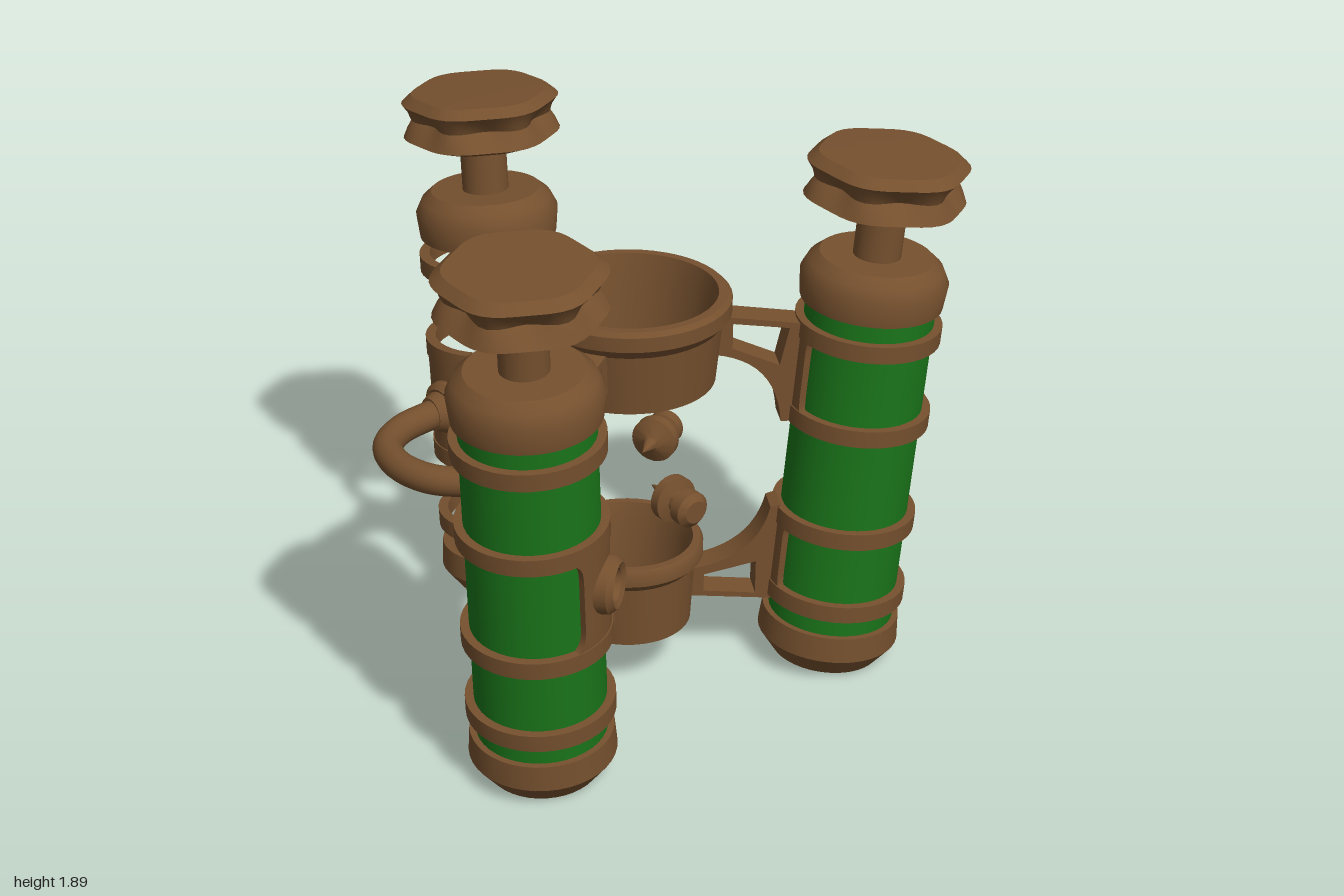
import * as THREE from 'three';
import { toCreasedNormals } from 'three/addons/utils/BufferGeometryUtils.js';

const bronze = new THREE.MeshStandardMaterial({ color: 0x75502e });
const green = new THREE.MeshStandardMaterial({ color: 0x1a751a });
const TILT = 0.078;

function part(parent, name, geometry, material = bronze) {
  const mesh = new THREE.Mesh(toCreasedNormals(geometry, 0.6), material);
  mesh.name = name;
  parent.add(mesh);
  return mesh;
}

// Lathe from [radius, height] pairs
const lathe = (points, segments = 40) =>
  new THREE.LatheGeometry(points.map(([r, y]) => new THREE.Vector2(r, y)), segments);

// Solid tube section centred on height y
const band = (inner, outer, y, h) => lathe([
  [inner, y - h / 2], [outer, y - h / 2], [outer, y + h / 2], [inner, y + h / 2], [inner, y - h / 2],
]);

// Plate bent round the canister; flare widens it near its ends
function bentPlate(angle, half, y0, y1, flare = 0) {
  const g = new THREE.BoxGeometry(1, 1, 1, 12, 20, 1);
  const p = g.attributes.position;
  for (let i = 0; i < p.count; i++) {
    const v = p.getY(i) * 2;
    const a = angle + p.getX(i) * 2 * (half + flare * Math.pow(Math.abs(v), 8));
    const r = 0.226 + p.getZ(i) * 0.03;
    p.setXYZ(i, r * Math.cos(a), y0 + (v + 1) / 2 * (y1 - y0), -r * Math.sin(a));
  }
  return g;
}

// Six-sided hand knob with scooped sides
function knobGeometry() {
  const g = lathe([[0, 1.67], [0.13, 1.67], [0.19, 1.68], [0.27, 1.71], [0.255, 1.745], [0.24, 1.77],
    [0.25, 1.8], [0.27, 1.83], [0.235, 1.86], [0, 1.865]], 48);
  const p = g.attributes.position;
  for (let i = 0; i < p.count; i++) {
    const x = p.getX(i), y = p.getY(i), z = p.getZ(i);
    const face = (1 - Math.cos(6 * Math.atan2(z, x))) / 2;
    const waist = Math.max(0, 1 - Math.abs(y - 1.77) / 0.06);
    const k = 1 - face * (0.06 + 0.12 * waist);
    p.setXYZ(i, x * k, y, z * k);
  }
  return g;
}

// Flat shape with one window, extruded about its middle plane
function bracketGeometry(outline, window, depth) {
  outline.holes.push(new THREE.Path(window.map(([x, y]) => new THREE.Vector2(x, y))));
  const g = new THREE.ExtrudeGeometry(outline, { depth, bevelEnabled: false, curveSegments: 12 });
  return g.translate(0, 0, -depth / 2);
}

function canister(filled) {
  const c = new THREE.Group();
  c.name = filled ? 'filledCanister' : 'emptyCanister';
  part(c, 'bottomCap', lathe([[0, 0.04], [0.09, 0.04], [0.11, 0], [0.19, 0], [0.245, 0.075],
    [0.238, 0.165], [0, 0.165]]));
  part(c, 'topCap', lathe([[0, 1.345], [0.238, 1.345], [0.247, 1.43], [0.225, 1.475], [0.19, 1.505], [0, 1.505]]));
  part(c, 'stem', new THREE.CylinderGeometry(0.08, 0.08, 0.22, 24).translate(0, 1.59, 0));
  part(c, 'knob', knobGeometry());
  for (const y of [0.265, 0.55, 0.94, 1.25]) part(c, 'cageRing', band(0.21, 0.246, y, 0.06));
  part(c, 'lowerStrip', bentPlate(Math.PI, 0.4, 0.265, 0.55, 0.15));
  part(c, 'upperStrip', bentPlate(Math.PI, 0.4, 0.94, 1.25, 0.15));
  part(c, 'portPlate', bentPlate(Math.PI / 2 + 0.12, 0.56, 0.56, 0.93, 0.3));
  const port = part(c, 'port', lathe([[0, 0.235], [0.045, 0.235], [0.055, 0.27], [0.075, 0.28],
    [0.095, 0.26], [0.1, 0.2]].reverse(), 28).rotateX(-Math.PI / 2));
  port.position.y = 0.755;
  port.rotation.y = 0.12;
  if (filled) {
    part(c, 'glass', new THREE.CylinderGeometry(0.217, 0.217, 1.2, 40).translate(0, 0.75, 0), green);
  } else {
    part(c, 'plungerRod', lathe([[0, 0.37], [0.19, 0.37], [0.19, 0.41], [0.095, 0.41], [0.09, 0.44],
      [0.067, 0.5], [0.067, 1.35]], 32));
  }
  c.position.set(0.705, 0.015, 0);
  c.rotation.z = -TILT;
  return c;
}

// Canister, its two brackets and the opposite needle nozzle
function arm(angle, filled) {
  const a = new THREE.Group();
  a.name = 'arm';
  a.add(canister(filled));

  const upper = new THREE.Shape();
  upper.moveTo(0.57, 1.3);
  upper.lineTo(0.29, 1.34);
  upper.lineTo(0.28, 1.2);
  upper.quadraticCurveTo(0.49, 1.17, 0.51, 0.94);
  upper.lineTo(0.55, 0.94);
  part(a, 'upperBracket', bracketGeometry(upper, [[0.53, 1.285], [0.34, 1.31], [0.34, 1.22], [0.5, 1.15]], 0.1));

  const lower = new THREE.Shape();
  lower.moveTo(0.52, 0.62);
  lower.lineTo(0.485, 0.61);
  lower.quadraticCurveTo(0.44, 0.41, 0.21, 0.385);
  lower.lineTo(0.21, 0.28);
  lower.lineTo(0.5, 0.25);
  part(a, 'lowerBracket', bracketGeometry(lower, [[0.44, 0.4], [0.26, 0.36], [0.26, 0.295], [0.44, 0.275]], 0.1));

  const nozzle = part(a, 'needleNozzle', lathe([[0, 0.13], [0.025, 0.2], [0.04, 0.21], [0.08, 0.23],
    [0.08, 0.265], [0.04, 0.275], [0.04, 0.3], [0.062, 0.31], [0.062, 0.35], [0.04, 0.37], [0, 0.37]], 24)
    .rotateZ(Math.PI / 2));
  nozzle.position.y = 0.76;
  a.rotation.y = angle;
  return a;
}

// Dog-bone clasp on the front of a collar
function clasp(y, radius, angle, size) {
  const g = new THREE.Group();
  g.name = 'clasp';
  for (const s of [-1, 1]) {
    const disc = new THREE.CylinderGeometry(size, size, 0.05, 20).rotateX(Math.PI / 2);
    part(g, 'claspDisc', disc.translate(s * 0.075, 0, 0));
    const pin = new THREE.CylinderGeometry(size * 0.5, size * 0.5, 0.07, 16).rotateX(Math.PI / 2);
    part(g, 'claspPin', pin.translate(s * 0.075, 0, 0));
  }
  part(g, 'claspBar', new THREE.BoxGeometry(0.15, 0.05, 0.04));
  g.position.set(Math.sin(angle) * radius, y, Math.cos(angle) * radius);
  g.rotation.y = angle;
  return g;
}

export function createModel() {
  const model = new THREE.Group();
  model.name = 'threeCanisterHolder';
  const hub = new THREE.Group();
  hub.name = 'hub';
  hub.position.x = 0.2;
  model.add(hub);

  // Tapered collars round the central axis
  part(hub, 'upperCollar', lathe([[0.25, 1.12], [0.29, 1.12], [0.31, 1.33], [0.34, 1.365], [0.34, 1.415],
    [0.325, 1.43], [0.295, 1.43], [0.28, 1.36], [0.25, 1.12]], 48));
  part(hub, 'lowerCollar', lathe([[0.195, 0.2], [0.22, 0.2], [0.232, 0.42], [0.26, 0.45], [0.26, 0.495],
    [0.25, 0.51], [0.225, 0.51], [0.21, 0.45], [0.195, 0.2]], 48));
  hub.add(clasp(1.265, 0.305, -0.23, 0.055), clasp(0.345, 0.232, -0.27, 0.05));

  // Hinge barrels at the back, seam ribs at the front
  for (const [y, r, h] of [[1.25, 0.315, 0.22], [0.33, 0.24, 0.2]]) {
    part(hub, 'hinge', new THREE.CylinderGeometry(0.028, 0.028, h, 16).translate(0, y, -r));
    part(hub, 'seamRib', new THREE.BoxGeometry(0.03, h, 0.03).translate(0, y, r - 0.02));
  }

  hub.add(arm(Math.PI, false), arm(-Math.PI / 3, true), arm(Math.PI / 3, true));

  // Hose from the empty canister's port to its nozzle
  const path = new THREE.CatmullRomCurve3([[-0.535, 0.2], [-0.53, 0.32], [-0.5, 0.46], [-0.42, 0.565], [-0.28, 0.605],
    [-0.14, 0.57], [-0.05, 0.48], [0.005, 0.38], [0.04, 0.3]].map(([x, z]) => new THREE.Vector3(x, 0.76, z)));
  part(model, 'hose', new THREE.TubeGeometry(path, 60, 0.052, 20));
  const fitting = part(model, 'hoseFitting', lathe([[0, -0.08], [0.06, -0.08], [0.06, 0.04], [0.088, 0.05],
    [0.088, 0.085], [0, 0.085]], 24).rotateX(Math.PI / 2));
  fitting.position.set(0.015, 0.76, 0.375);
  fitting.rotation.y = Math.PI - 0.52;
  const base = part(model, 'hoseBase', new THREE.CylinderGeometry(0.06, 0.085, 0.06, 24).rotateX(Math.PI / 2));
  base.position.set(-0.535, 0.76, 0.28);
  return model;
}
